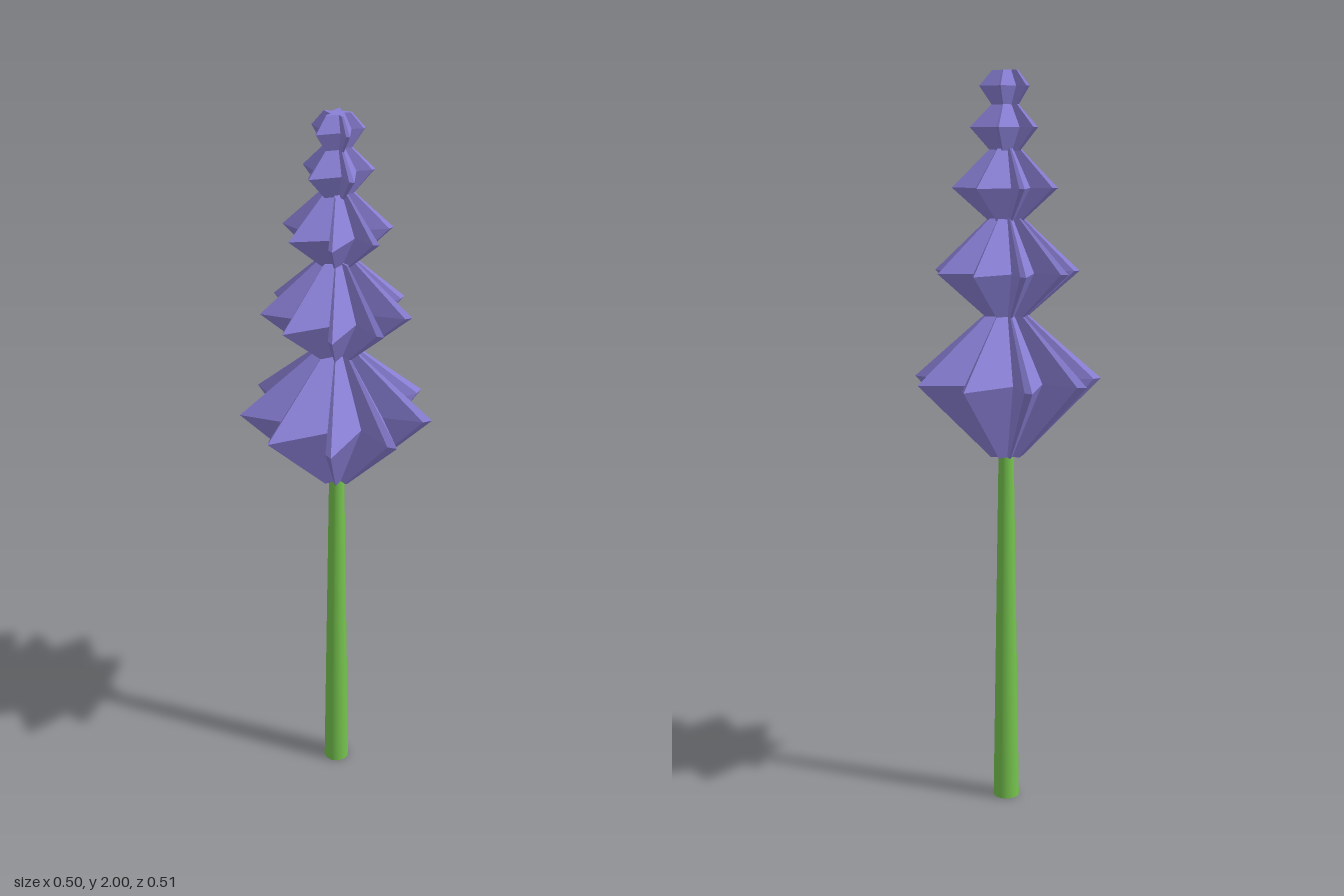
import * as THREE from 'three';

// One corner trio per petal: valley, blunt inner tip, sharp tip
// (angle as a fraction of the petal spacing, radius as a fraction of the tip radius)
const PETAL = [[-0.175, 0.5], [-0.09, 0.92], [0, 1]];

// Pinwheel whorl lofted through star-shaped rings [height, tip radius]
function whorlGeometry(count, startAngle, rings) {
  const step = (Math.PI * 2) / count;
  const n = count * PETAL.length;
  const pos = [];
  const index = [];
  for (const [y, radius] of rings) {
    for (let p = 0; p < count; p++) {
      for (const [turn, scale] of PETAL) {
        const a = startAngle + (p + turn) * step;
        pos.push(radius * scale * Math.cos(a), y, -radius * scale * Math.sin(a));
      }
    }
  }
  // Centre points for the end caps
  const bottom = pos.length / 3;
  const top = bottom + 1;
  const last = (rings.length - 1) * n;
  pos.push(0, rings[0][0], 0, 0, rings[rings.length - 1][0], 0);

  for (let i = 0; i < n; i++) {
    const j = (i + 1) % n;
    for (let r = 0; r < rings.length - 1; r++) {
      const lo = r * n;
      const hi = lo + n;
      index.push(lo + i, lo + j, hi + j, lo + i, hi + j, hi + i);
    }
    index.push(bottom, j, i, top, last + i, last + j);
  }
  const indexed = new THREE.BufferGeometry();
  indexed.setAttribute('position', new THREE.Float32BufferAttribute(pos, 3));
  indexed.setIndex(index);
  const geometry = indexed.toNonIndexed();
  geometry.computeVertexNormals();
  return geometry;
}

export function createModel() {
  const model = new THREE.Group();
  model.name = 'flowerSpike';

  const purple = new THREE.MeshStandardMaterial({ color: 0x8a80d6 });
  purple.name = 'petalPurple';
  const green = new THREE.MeshStandardMaterial({ color: 0x76c44e });
  green.name = 'stemGreen';

  // Tapered stem
  const stem = new THREE.Mesh(new THREE.CylinderGeometry(0.02, 0.036, 1.04, 12), green);
  stem.name = 'stem';
  stem.position.y = 0.52;
  model.add(stem);

  // Whorls of petals, smaller towards the top
  const tiers = [
    { count: 9, angle: 18.4, rings: [[0.98, 0.045], [1.19, 0.257], [1.365, 0.058]] },
    { count: 9, angle: 18.4, rings: [[1.36, 0.058], [1.48, 0.197], [1.62, 0.048]] },
    { count: 7, angle: 0, rings: [[1.615, 0.048], [1.7, 0.143], [1.8, 0.042]] },
    { count: 5, angle: 0, rings: [[1.795, 0.042], [1.855, 0.095], [1.915, 0.036]] },
    { count: 5, angle: 0, rings: [[1.91, 0.036], [1.96, 0.07], [2.0, 0.036]] },
  ];
  tiers.forEach(({ count, angle, rings }, i) => {
    const whorl = new THREE.Mesh(
      whorlGeometry(count, THREE.MathUtils.degToRad(angle), rings), purple);
    whorl.name = `petalWhorl${i + 1}`;
    model.add(whorl);
  });

  return model;
}
